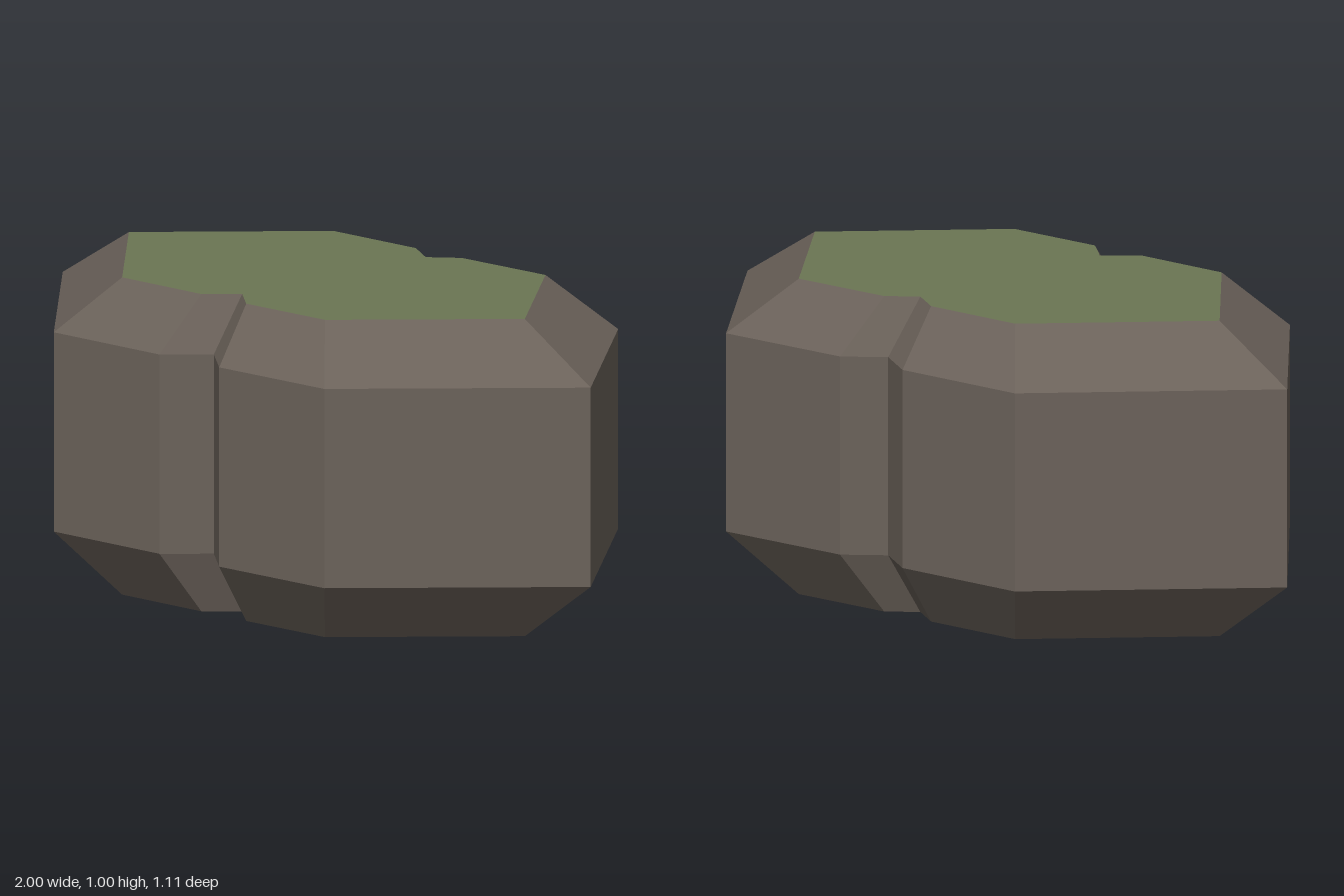
import * as THREE from 'three';

// Notched twelve-sided outline as [x, z], running from the right around the front
const outline = [
  [1, 0.125], [0.32, 0.55], [-0.07, 0.515], [-0.155, 0.405], [-0.295, 0.49], [-0.69, 0.45],
  [-1, -0.118], [-0.305, -0.555], [0.105, -0.515], [0.205, -0.425], [0.335, -0.49], [0.748, -0.455],
];
// Horizontal sections of the rock as [y, scale]
const sections = [[0, 0.75], [0.2, 1], [0.825, 1], [0.995, 0.75]];

// Quad band joining two scaled outlines
function band([y0, s0], [y1, s1]) {
  const positions = [];
  outline.forEach(([x, z], i) => {
    const [u, w] = outline[(i + 1) % outline.length];
    const a = [x * s0, y0, z * s0], b = [u * s0, y0, w * s0];
    const c = [u * s1, y1, w * s1], d = [x * s1, y1, z * s1];
    positions.push(...a, ...c, ...b, ...a, ...d, ...c);
  });
  const geometry = new THREE.BufferGeometry();
  geometry.setAttribute('position', new THREE.Float32BufferAttribute(positions, 3));
  geometry.computeVertexNormals();
  return geometry;
}

// Flat cap at one section, facing up or down
function cap([y, s], up) {
  const dir = up ? -1 : 1;
  const shape = new THREE.Shape(outline.map(([x, z]) => new THREE.Vector2(x * s, dir * z * s)));
  return new THREE.ShapeGeometry(shape).rotateX(dir * Math.PI / 2).translate(0, y, 0);
}

export function createModel() {
  const stone = new THREE.MeshStandardMaterial({ color: 0x6b625a });
  stone.name = 'stone';
  const grass = new THREE.MeshStandardMaterial({ color: 0x6b7653 });
  grass.name = 'grass';

  const rock = new THREE.Group();
  rock.name = 'rock';
  const add = (name, geometry, material) => {
    const mesh = new THREE.Mesh(geometry, material);
    mesh.name = name;
    rock.add(mesh);
  };

  ['lowerBevel', 'rockWall', 'upperBevel'].forEach((name, i) =>
    add(name, band(sections[i], sections[i + 1]), stone));
  add('underside', cap(sections[0], false), stone);
  add('grassTop', cap(sections[3], true), grass);
  return rock;
}
